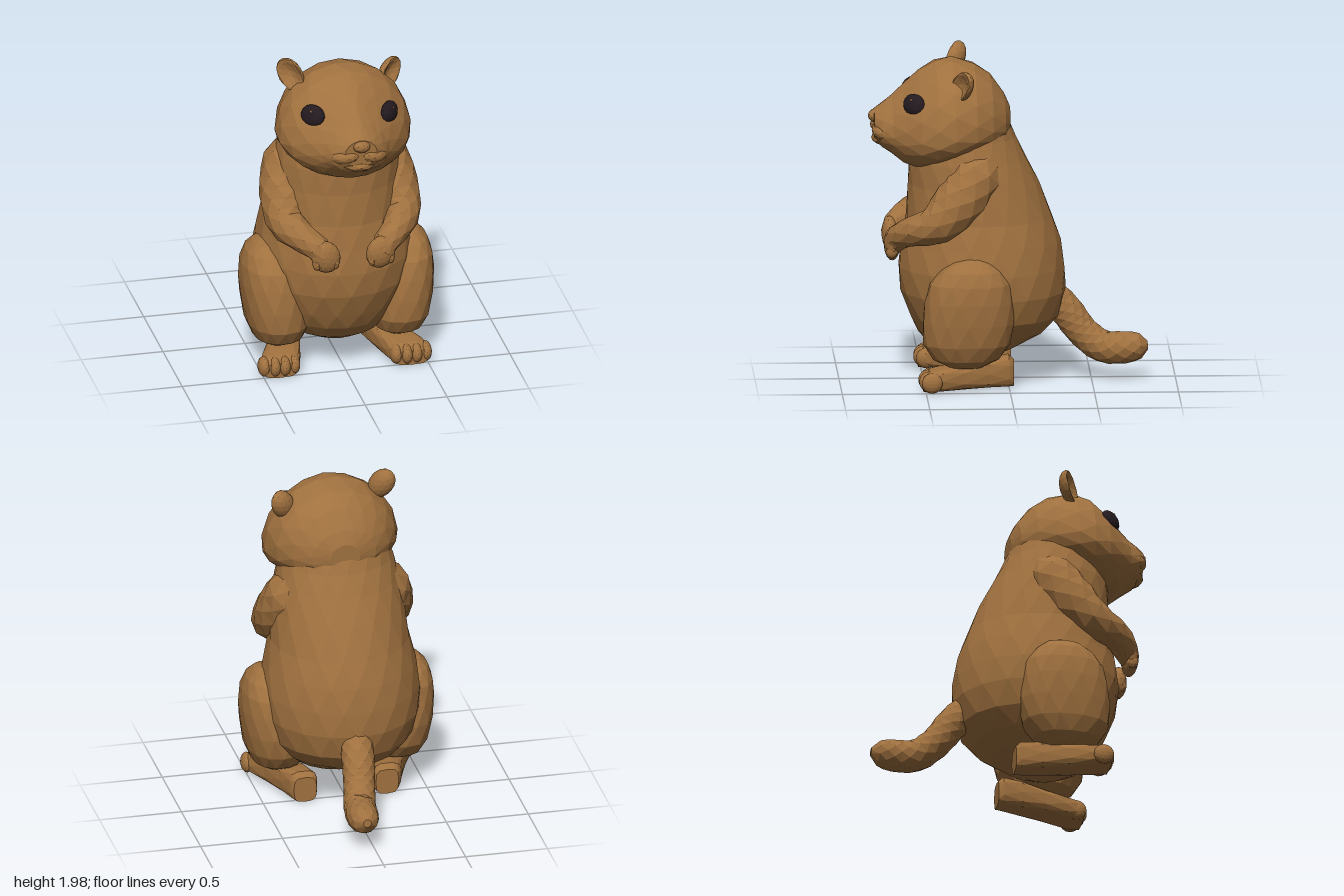
import * as THREE from 'three';

const fur = new THREE.MeshStandardMaterial({ color: 0xa0713f, flatShading: true });
fur.name = 'brown fur';
const dark = new THREE.MeshStandardMaterial({ color: 0x241b20, flatShading: true });
dark.name = 'dark eye';

const V = (x, y, z) => new THREE.Vector3(x, y, z);

function part(name, geometry, material = fur) {
  const mesh = new THREE.Mesh(geometry, material);
  mesh.name = name;
  return mesh;
}

// Skin a row of equal rings with staggered triangles and close both ends
function loft(rings) {
  const n = rings[0].length, pos = [], idx = [];
  const mid = r => r.reduce((s, p) => s.add(p), V(0, 0, 0)).divideScalar(n);
  rings.forEach(r => r.forEach(p => pos.push(p.x, p.y, p.z)));
  const first = rings.length * n, last = first + 1;
  [mid(rings[0]), mid(rings[rings.length - 1])].forEach(p => pos.push(p.x, p.y, p.z));
  for (let j = 0; j < n; j++) {
    const k = (j + 1) % n, e = (rings.length - 1) * n;
    idx.push(first, k, j, last, e + j, e + k);
    for (let i = 0; i < rings.length - 1; i++) {
      const a = i * n + j, b = i * n + k;
      idx.push(a, b, a + n, b, b + n, a + n);
    }
  }
  const g = new THREE.BufferGeometry();
  g.setAttribute('position', new THREE.Float32BufferAttribute(pos, 3));
  g.setIndex(idx);
  g.computeVertexNormals();
  return g;
}

// Each ring is turned half a step further than the one before
const ring = (n, i, f) => Array.from({ length: n }, (_, j) => f((j + i / 2) / n * Math.PI * 2));
const power = (v, e) => Math.sign(v) * Math.abs(v) ** e;

// Round limb through points [x, y, z, radius]; s mirrors it
function limb(pts, s, steps, n) {
  const curve = new THREE.CatmullRomCurve3(pts.map(p => V(p[0] * s, p[1], p[2])));
  const frames = curve.computeFrenetFrames(steps);
  const rings = [];
  for (let i = 0; i <= steps; i++) {
    const u = curve.getUtoTmapping(i / steps), t = u * (pts.length - 1);
    const k = Math.min(Math.floor(t), pts.length - 2);
    const r = THREE.MathUtils.lerp(pts[k][3], pts[k + 1][3], t - k);
    const c = curve.getPoint(u);
    rings.push(ring(n, i, a => c.clone()
      .addScaledVector(frames.normals[i], r * Math.cos(a))
      .addScaledVector(frames.binormals[i], r * Math.sin(a))));
  }
  return loft(rings);
}

// Faceted ellipsoid
function blob(name, p, r, detail = 1, material = fur) {
  const m = part(name, new THREE.IcosahedronGeometry(1, detail), material);
  m.position.set(...p);
  m.scale.set(...r);
  return m;
}

function makeBody() {
  // height, back z, front z, half width
  const rows = [
    [0.16, 0.06, 0.36, 0.16], [0.21, -0.05, 0.45, 0.27], [0.3, -0.22, 0.53, 0.36],
    [0.4, -0.31, 0.58, 0.43], [0.55, -0.35, 0.635, 0.475], [0.7, -0.345, 0.65, 0.48],
    [0.85, -0.32, 0.63, 0.455], [1.0, -0.27, 0.605, 0.42], [1.2, -0.19, 0.59, 0.395],
    [1.35, -0.115, 0.585, 0.375], [1.48, -0.05, 0.55, 0.345], [1.6, 0.0, 0.45, 0.3]];
  return part('body', loft(rows.map(([y, b, f, w], i) => ring(18, i, a =>
    V(w * Math.sin(a), y, (b + f) / 2 + (f - b) / 2 * Math.cos(a))))));
}

function makeHead() {
  const head = new THREE.Group(), inner = new THREE.Group();
  head.name = 'head';
  // z, top, bottom, half width, height of the widest point, pinch of the upper half
  const rows = [
    [-0.015, 1.66, 1.5, 0.09, 1.58, 1], [0.02, 1.74, 1.45, 0.2, 1.57, 1],
    [0.1, 1.85, 1.4, 0.3, 1.57, 1], [0.2, 1.92, 1.36, 0.37, 1.56, 1],
    [0.33, 1.955, 1.33, 0.41, 1.54, 1], [0.43, 1.94, 1.31, 0.405, 1.53, 1.1],
    [0.53, 1.885, 1.3, 0.36, 1.52, 1.4], [0.62, 1.805, 1.33, 0.28, 1.52, 1.6],
    [0.69, 1.735, 1.385, 0.21, 1.52, 1.5], [0.75, 1.685, 1.425, 0.165, 1.53, 1.3],
    [0.795, 1.65, 1.48, 0.1, 1.56, 1]];
  const skull = part('skull', loft(rows.map(([z, t, b, w, m, e], i) => ring(18, i, a => {
    const c = Math.cos(a), d = Math.sin(a);
    return d > 0 ? V(w * power(c, e), m + (t - m) * d, z) : V(w * c, m + (m - b) * d, z);
  }))));
  inner.add(skull);

  // Muzzle
  inner.add(blob('nose', [0, 1.61, 0.785], [0.055, 0.04, 0.045]));
  inner.add(blob('lowerLip', [0, 1.475, 0.73], [0.11, 0.042, 0.08]));

  const ray = new THREE.Raycaster();
  for (const s of [1, -1]) {
    const lip = blob('upperLip', [s * 0.08, 1.535, 0.725], [0.1, 0.055, 0.085], 2);
    lip.rotation.set(0, s * 0.4, s * -0.15);
    inner.add(lip);

    // Eyes are set into the skin of the skull
    const out = V(s * 0.7, 0.2, 0.68).normalize();
    ray.set(V(s * 0.2 - 0.018, 1.715, 0.53).addScaledVector(out, 1), out.clone().negate());
    const at = ray.intersectObject(skull)[0].point;
    const eye = new THREE.Group();
    eye.name = 'eye';
    eye.add(blob('eyeball', [0, 0, 0], [0.08, 0.066, 0.036], 2, dark));
    eye.add(blob('eyeGlint', [s * -0.005, 0.028, 0.032], [0.009, 0.009, 0.006], 0));
    eye.position.copy(at);
    eye.quaternion.setFromUnitVectors(V(0, 0, 1), out);
    inner.add(eye);

    // Ears are cupped towards the front
    const ear = blob('ear', [s * 0.308 - 0.015, 1.862 - s * 0.014, 0.295], [0.075, 0.11, 0.065], 2);
    const p = ear.geometry.attributes.position;
    for (let i = 0; i < p.count; i++) {
      const z = p.getZ(i);
      if (z > 0) p.setZ(i, z - 1.3 * z * z);
    }
    ear.geometry.computeVertexNormals();
    ear.rotation.set(-0.1, s * 0.6, s * -0.6);
    inner.add(ear);
  }
  // Slight tilt and turn
  inner.position.y = -1.55;
  head.position.y = 1.55;
  head.rotation.set(0, 0.03, -0.06);
  head.add(inner);
  return head;
}

function makeArm(s) {
  const arm = new THREE.Group();
  arm.name = s > 0 ? 'leftArm' : 'rightArm';
  arm.add(part('armLimb', limb([
    [0.22, 1.42, 0.12, 0.07], [0.275, 1.29, 0.19, 0.16], [0.325, 1.13, 0.3, 0.16],
    [0.35, 1.0, 0.44, 0.12], [0.3, 0.96, 0.57, 0.09], [0.215, 0.91, 0.65, 0.08],
    [0.17, 0.85, 0.69, 0.06]], s, 12, 9)));
  const hand = blob('hand', [s * 0.168, 0.86, 0.69], [0.088, 0.105, 0.05], 2);
  hand.rotation.z = s * -0.35;
  arm.add(hand);
  for (let i = 0; i < 4; i++)
    arm.add(blob('finger', [s * (0.113 + i * 0.037), 0.808 + Math.abs(i - 1.3) * 0.008, 0.695],
      [0.026, 0.042, 0.036]));
  return arm;
}

function makeLeg(s) {
  const leg = new THREE.Group();
  leg.name = s > 0 ? 'leftLeg' : 'rightLeg';
  // Thigh: height, centre x, centre z, half width, half depth
  const thigh = [[0.15, 0.365, 0.26, 0.08, 0.1], [0.2, 0.365, 0.26, 0.15, 0.2],
    [0.29, 0.37, 0.255, 0.185, 0.26], [0.42, 0.383, 0.245, 0.194, 0.275],
    [0.55, 0.392, 0.24, 0.194, 0.265], [0.66, 0.4, 0.235, 0.177, 0.24],
    [0.74, 0.415, 0.23, 0.135, 0.18], [0.79, 0.43, 0.225, 0.075, 0.11], [0.81, 0.44, 0.22, 0.025, 0.04]];
  leg.add(part('thigh', loft(thigh.map(([y, x, z, w, d], i) => ring(14, i, a =>
    V(s * x + w * power(Math.sin(a), 0.87), y, z + d * power(Math.cos(a), 0.87)))))));

  // Foot: centre x, z, half width, height
  const foot = [[0.25, -0.03, 0.07, 0.17], [0.255, 0.0, 0.085, 0.2], [0.285, 0.12, 0.095, 0.19],
    [0.33, 0.27, 0.105, 0.165], [0.375, 0.4, 0.12, 0.152], [0.395, 0.47, 0.12, 0.14],
    [0.4, 0.515, 0.1, 0.105]];
  leg.add(part('foot', loft(foot.map(([x, z, w, h], i) => ring(12, i, a =>
    V(s * x + w * power(Math.cos(a), 0.6),
      0.012 + (h - 0.012) * (0.5 + 0.5 * power(Math.sin(a), 0.6)), z))))));
  for (let i = 0; i < 4; i++)
    leg.add(blob('toe', [s * (0.312 + i * 0.06), 0.073, 0.487 - Math.abs(i - 1.4) * 0.014],
      [0.038, 0.062, 0.062], 2));
  return leg;
}

export function createModel() {
  const model = new THREE.Group();
  model.name = 'sittingRodent';
  model.add(makeBody(), makeHead());
  for (const s of [1, -1]) model.add(makeArm(s), makeLeg(s));
  model.add(part('tail', limb([
    [0, 0.52, -0.25, 0.1], [0.005, 0.42, -0.35, 0.1], [0.02, 0.29, -0.45, 0.095],
    [0.045, 0.205, -0.57, 0.098], [0.058, 0.2, -0.69, 0.098], [0.06, 0.208, -0.77, 0.088],
    [0.06, 0.212, -0.815, 0.06], [0.06, 0.214, -0.835, 0.025]], 1, 16, 9)));
  return model;
}
